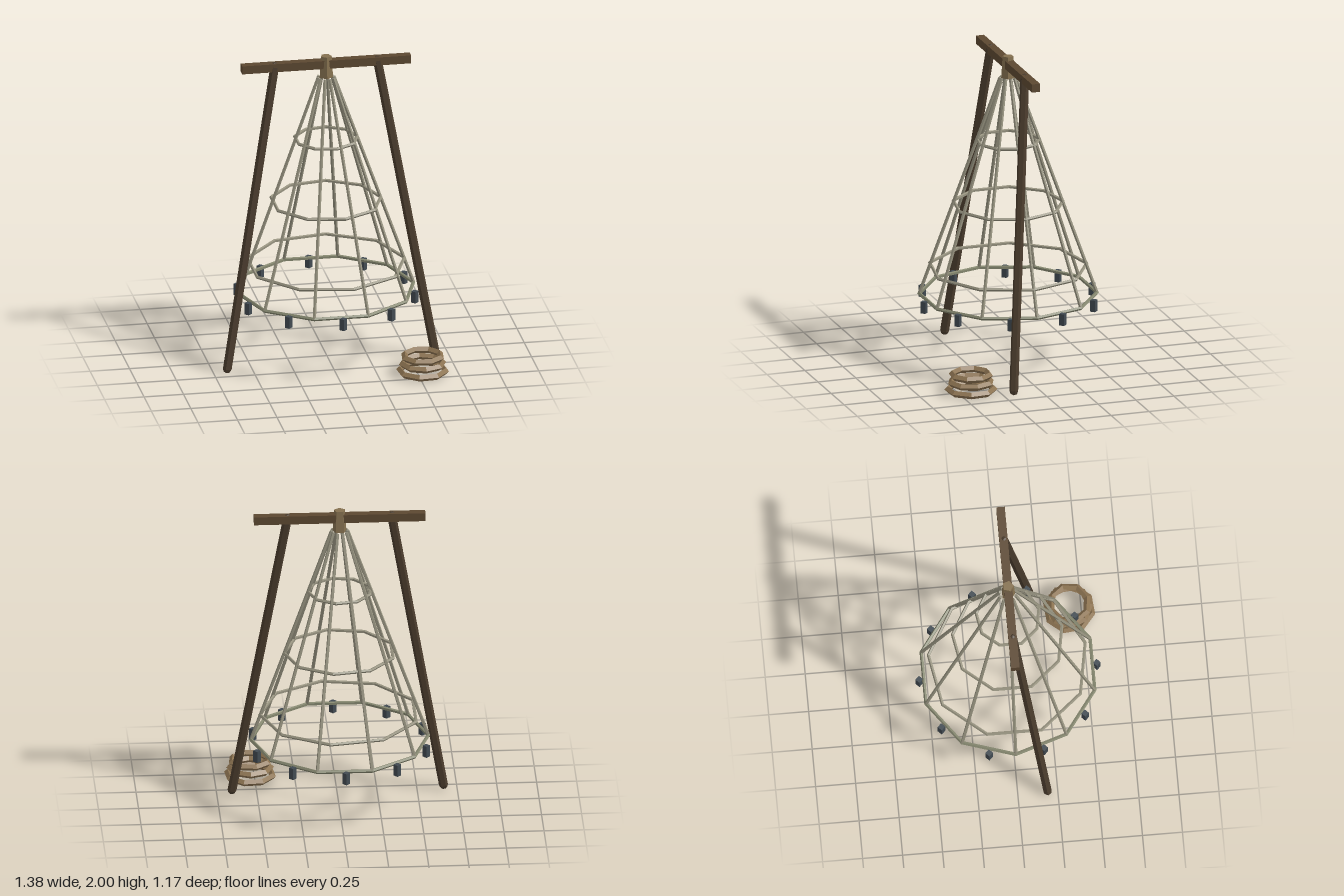
import * as THREE from 'three';

const mat = (color) => new THREE.MeshStandardMaterial({ color, flatShading: true });

export function createModel() {
  const model = new THREE.Group();
  const wood = mat(0x5c4831), darkWood = mat(0x4a3c2d), paleWood = mat(0x84704f);
  const cord = mat(0x96927f), baseCord = mat(0x85876f), lead = mat(0x414a51), rope = mat(0x8c7351);

  const add = (parent, name, geometry, material, x = 0, y = 0, z = 0) => {
    const mesh = new THREE.Mesh(geometry, material);
    mesh.name = name;
    mesh.position.set(x, y, z);
    parent.add(mesh);
    return mesh;
  };

  // Lay a y-aligned mesh along the line from a to b
  const align = (mesh, a, b) => {
    mesh.position.copy(a).add(b).multiplyScalar(0.5);
    mesh.quaternion.setFromUnitVectors(new THREE.Vector3(0, 1, 0), b.clone().sub(a).normalize());
  };

  // Horizontal polygonal ring
  const ring = (parent, name, radius, tube, sides, segments, material, y) => {
    const geometry = new THREE.TorusGeometry(radius, tube, sides, segments).rotateX(Math.PI / 2);
    return add(parent, name, geometry, material, 0, y, 0);
  };

  const rig = new THREE.Group();
  rig.name = 'hangingNetRig';
  rig.position.set(-0.005, 0, -0.004);
  model.add(rig);

  // Crossbeam and the hub that gathers the net
  add(rig, 'crossbeam', new THREE.BoxGeometry(1.07, 0.053, 0.053), wood, 0, 1.949, 0);
  add(rig, 'hub', new THREE.CylinderGeometry(0.036, 0.045, 0.14, 5), paleWood, 0, 1.93, 0);

  // Two splayed, forward-leaning poles whose tips just clear the beam
  for (const side of [-1, 1]) {
    const foot = new THREE.Vector3(side * 0.66, 0.028, 0.19);
    const head = new THREE.Vector3(side * 0.325, 1.954, 0.002);
    const pole = new THREE.CapsuleGeometry(0.028, foot.distanceTo(head), 2, 6);
    align(add(rig, side > 0 ? 'leftPole' : 'rightPole', pole, darkWood), foot, head);
  }

  // Net: sloping cords, cross rings and base hoop
  const net = new THREE.Group();
  net.name = 'net';
  rig.add(net);
  for (let i = 0; i < 10; i++) {
    const a = (i / 10) * Math.PI * 2;
    const low = new THREE.Vector3(Math.cos(a) * 0.554, 0.452, Math.sin(a) * 0.554);
    const high = new THREE.Vector3(Math.cos(a) * 0.05, 1.86, Math.sin(a) * 0.05);
    const geometry = new THREE.CylinderGeometry(0.011, 0.011, low.distanceTo(high), 5);
    align(add(net, 'netCord', geometry, cord), low, high);
  }
  for (const [radius, y] of [[0.497, 0.62], [0.347, 1.035], [0.198, 1.45]]) {
    ring(net, 'netRing', radius, 0.011, 5, 9, cord, y);
  }
  ring(net, 'baseHoop', 0.554, 0.012, 5, 10, baseCord, 0.452);

  // Sinkers around the base hoop
  for (let i = 0; i < 10; i++) {
    const a = 0.3 + (i / 10) * Math.PI * 2;
    const geometry = new THREE.CylinderGeometry(0.024, 0.024, 0.075, 4);
    add(net, 'sinker', geometry, lead, Math.cos(a) * 0.556, 0.418, Math.sin(a) * 0.556);
  }

  // Coil of rope on the ground, each loop turned from the one below
  const coil = new THREE.Group();
  coil.name = 'ropeCoil';
  coil.position.set(0.528, 0, 0.425);
  model.add(coil);
  [0.145, 0.128, 0.119].forEach((radius, i) => {
    const loop = ring(coil, 'ropeLoop', radius, 0.021, 4, 8, rope, 0.027 + i * 0.047);
    loop.rotation.y = -0.3 - i * 0.5;
  });

  return model;
}
